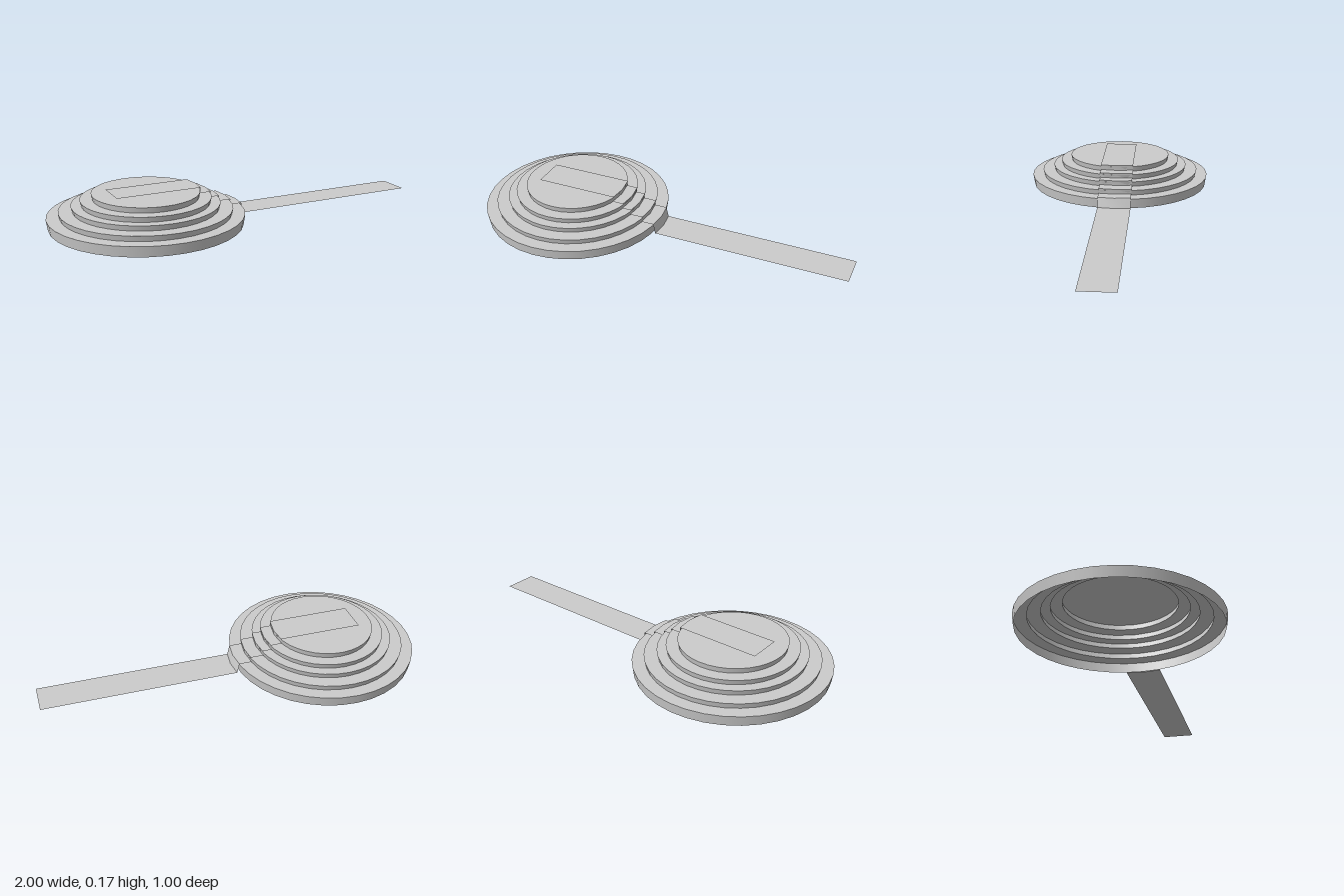
import * as THREE from 'three';

const material = new THREE.MeshStandardMaterial({ color: 0xcccccc, side: THREE.DoubleSide });
const CENTER_X = -0.512;

// One smooth ring swept from a two-point profile, slightly narrower along x
function ring(name, r0, y0, r1, y1) {
  const points = [new THREE.Vector2(r0, y0), new THREE.Vector2(r1, y1)];
  const geometry = new THREE.LatheGeometry(points, 36);
  const p = geometry.attributes.position;
  for (let i = 0; i < p.count; i++) {
    const r = Math.hypot(p.getX(i), p.getZ(i));
    if (r > 0.02) p.setX(i, p.getX(i) * (r - 0.013) / r);
  }
  const mesh = new THREE.Mesh(geometry, material);
  mesh.name = name;
  return mesh;
}

// Sheet strip between two profile points [x, y, bend]; the bend pulls the sides back in x
function strip(name, a, b, halfWidth) {
  const positions = [], index = [];
  for (const [x, y, bend] of [a, b])
    for (const s of [-1, 0, 1]) positions.push(x - Math.abs(s) * bend, y, s * halfWidth);
  for (let i = 0; i < 2; i++) index.push(i, i + 1, i + 3, i + 1, i + 4, i + 3);
  const geometry = new THREE.BufferGeometry();
  geometry.setAttribute('position', new THREE.Float32BufferAttribute(positions, 3));
  geometry.setIndex(index);
  geometry.computeVertexNormals();
  const mesh = new THREE.Mesh(geometry, material);
  mesh.name = name;
  return mesh;
}

export function createModel() {
  const model = new THREE.Group();
  model.name = 'steppedPodium';

  // Hollow tiers: [bottom radius, top radius, bottom y, top y]
  const tiers = [
    [0.494, 0.502, 0, 0.053],
    [0.436, 0.443, 0.053, 0.081],
    [0.373, 0.38, 0.081, 0.108],
    [0.329, 0.336, 0.108, 0.135],
    [0.274, 0.28, 0.135, 0.163],
  ];
  const podium = new THREE.Group();
  podium.name = 'podium';
  podium.position.x = CENTER_X;
  tiers.forEach(([r0, r1, y0, y1], i) => {
    const inner = i < tiers.length - 1 ? tiers[i + 1][0] : 0;
    podium.add(ring('riser' + (i + 1), r0, y0, r1, y1));
    podium.add(ring('tread' + (i + 1), r1, y1, inner, y1));
  });
  model.add(podium);

  // Carpet running from the top platform down the steps and along the ground
  const path = [
    [-0.69, 0.171, 0],
    [-0.243, 0.171, 0.011], [-0.247, 0.143, 0.011],
    [-0.188, 0.143, 0.011], [-0.192, 0.116, 0.011],
    [-0.143, 0.116, 0.011], [-0.147, 0.089, 0.011],
    [-0.08, 0.089, 0.01], [-0.084, 0.061, 0.01],
    [-0.018, 0.061, 0.01], [-0.006, 0.008, 0.01],
    [1, 0.008, 0],
  ];
  const carpet = new THREE.Group();
  carpet.name = 'carpet';
  for (let i = 0; i < path.length - 1; i++)
    carpet.add(strip('carpetStrip' + (i + 1), path[i], path[i + 1], 0.088));
  // Strip corners run towards +z, so the upper faces look up
  carpet.children.forEach((m) => {
    const n = m.geometry.attributes.normal;
    if (n.getY(1) < -0.5) {
      m.geometry.setIndex([...m.geometry.index.array].reverse());
      m.geometry.computeVertexNormals();
    }
  });
  model.add(carpet);
  return model;
}
